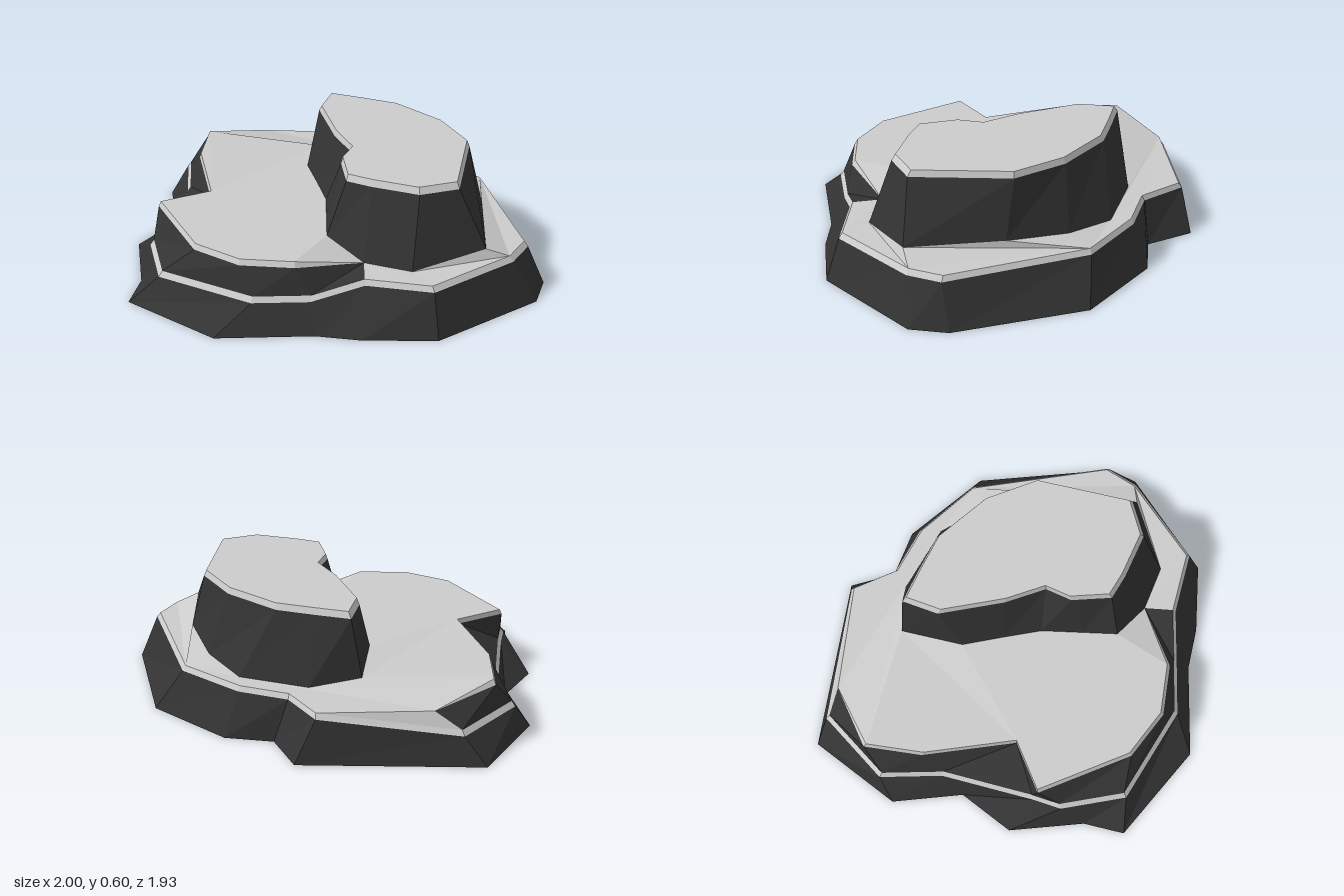
import * as THREE from 'three';

const stone = new THREE.MeshStandardMaterial({ color: 0x333333, flatShading: true });
const worn = new THREE.MeshStandardMaterial({ color: 0xcccccc, flatShading: true });

// Outlines run clockwise seen from above, as [x, y, z]
const ground = [
  [-0.6, -0.97], [0.27, -0.87], [0.35, -0.63], [0.58, -0.57], [0.91, -0.22], [1, 0.44],
  [0.94, 0.62], [0.45, 0.96], [0.1, 0.95], [-0.11, 0.91], [-0.57, 0.92], [-0.99, 0.59],
  [-0.95, 0.39], [-1, 0.02], [-0.83, -0.22], [-0.88, -0.57],
].map(([x, z]) => [x, 0, z]);

const ledge = [
  [-0.5, 0.135, -0.92], [0.17, 0.21, -0.84], [0.28, 0.21, -0.62], [0.51, 0.21, -0.51],
  [0.77, 0.21, -0.25], [0.91, 0.21, 0.46], [0.82, 0.21, 0.61], [0.43, 0.21, 0.89],
  [0.12, 0.21, 0.82], [-0.13, 0.135, 0.835], [-0.4, 0.135, 0.84], [-0.84, 0.135, 0.59],
  [-0.91, 0.135, 0.27], [-0.87, 0.135, 0.13], [-0.77, 0.135, -0.32], [-0.79, 0.135, -0.63],
];

// Raised left shelf: fades into the terrace at both ends
const shelf = [
  [0.12, 0.24, 0.66], [-0.2, 0.31, 0.77], [-0.45, 0.31, 0.74], [-0.66, 0.31, 0.59],
  [-0.86, 0.31, 0.15], [-0.62, 0.31, 0.04], [-0.7, 0.31, -0.41], [-0.67, 0.31, -0.69],
  [-0.37, 0.24, -0.86],
];

const moundFoot = [
  [-0.07, 0.28, -0.56], [0.18, 0.24, -0.56], [0.5, 0.235, -0.4], [0.64, 0.26, -0.17],
  [0.72, 0.29, 0.14], [0.69, 0.28, 0.61], [0.34, 0.235, 0.74], [0.12, 0.24, 0.66],
  [-0.05, 0.31, 0.52], [-0.05, 0.31, 0.35], [-0.05, 0.31, 0.14], [-0.09, 0.31, -0.04],
  [-0.14, 0.31, -0.25],
];

const moundTop = [
  [-0.01, -0.52], [0.15, -0.455], [0.32, -0.38], [0.53, -0.16], [0.64, 0.09], [0.55, 0.55],
  [0.37, 0.605], [0.16, 0.52], [0.05, 0.46], [0.03, 0.27], [0.08, 0.15], [0.005, -0.04],
  [-0.065, -0.35],
].map(([x, z]) => [x, 0.6, z]);

// Scale an outline about a centre and shift it in height
const offset = (ring, s, dy, cx = 0, cz = 0) =>
  ring.map(([x, y, z]) => [cx + (x - cx) * s, y + dy, cz + (z - cz) * s]);

function mesh(name, triangles, material) {
  const geometry = new THREE.BufferGeometry();
  geometry.setAttribute('position', new THREE.Float32BufferAttribute(triangles.flat(2), 3));
  geometry.computeVertexNormals();
  const result = new THREE.Mesh(geometry, material);
  result.name = name;
  return result;
}

// Band of faces between a lower and an upper outline
function wall(lower, upper, closed = true) {
  const triangles = [];
  const n = lower.length;
  for (let i = 0; i < (closed ? n : n - 1); i++) {
    const j = (i + 1) % n;
    triangles.push([lower[i], upper[i], lower[j]], [upper[i], upper[j], lower[j]]);
  }
  return triangles;
}

// Fill an outline with faces pointing up or down
function cap(ring, up = true) {
  const flat = ring.map(([x, , z]) => new THREE.Vector2(x, z));
  return THREE.ShapeUtils.triangulateShape(flat, []).map(([a, b, c]) => {
    const [p, q, r] = [flat[a], flat[b], flat[c]];
    const cross = (q.x - p.x) * (r.y - p.y) - (q.y - p.y) * (r.x - p.x);
    const order = (cross < 0) === up ? [a, b, c] : [a, c, b];
    return order.map((i) => ring[i]);
  });
}

export function createModel() {
  const group = new THREE.Group();
  group.name = 'rockFormation';

  // Base with its worn rim
  const rim = offset(ledge, 0.98, 0.025);
  group.add(mesh('baseSides', wall(ground, ledge), stone));
  group.add(mesh('underside', cap(ground, false), stone));
  group.add(mesh('baseRim', wall(ledge, rim), worn));

  // Shelf wall with a chamfer that vanishes at both ends
  const widened = offset(shelf, 1.02, -0.025, -0.3, 0);
  const shelfEdge = shelf.map((p, i) => (i === 0 || i === shelf.length - 1 ? p : widened[i]));
  const shelfRim = [...rim.slice(8), rim[0]];
  group.add(mesh('shelfSides', wall(shelfRim, shelfEdge, false), stone));
  group.add(mesh('shelfChamfer', wall(shelfEdge, shelf, false), worn));

  // Shelf and terrace surfaces on either side of the mound
  const westFoot = [moundFoot[1], moundFoot[0], ...moundFoot.slice(8).reverse()];
  const eastFoot = moundFoot.slice(1, 8).reverse();
  group.add(mesh('shelfTop', cap([...shelf, ...westFoot]), worn));
  group.add(mesh('terrace', cap([...rim.slice(0, 9), ...eastFoot, shelf[8]]), worn));

  // Mound
  const shoulder = offset(moundTop, 1.035, -0.03, 0.29, 0.05);
  group.add(mesh('moundSides', wall(moundFoot, shoulder), stone));
  group.add(mesh('moundChamfer', wall(shoulder, moundTop), worn));
  group.add(mesh('moundTop', cap(moundTop), worn));
  return group;
}
